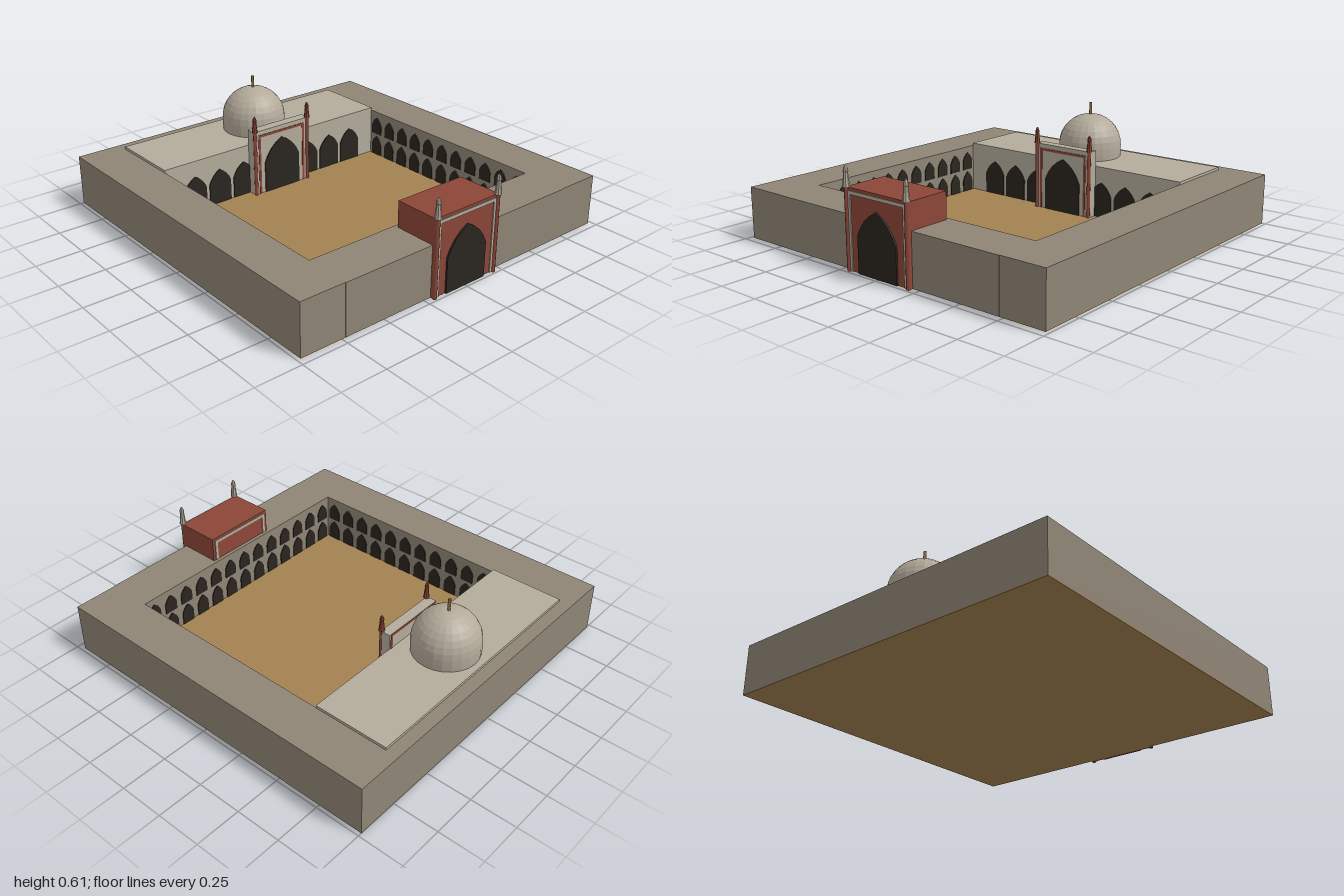
import * as THREE from 'three';

const mat = (color, flat = false) =>
  new THREE.MeshStandardMaterial({ color, flatShading: flat });

const stone = mat(0x8f8576);
const marble = mat(0xb3ac9c);
const domeStone = mat(0xb3aa9a, true);
const red = mat(0x8c4638);
const redFacet = mat(0x8c4638, true);
const dark = mat(0x2a251f);
const sand = mat(0xa38152);
const brass = mat(0x8c7040);

export function createModel() {
  const root = new THREE.Group();

  const add = (name, geometry, material, parent = root) => {
    const m = new THREE.Mesh(geometry, material);
    m.name = name;
    parent.add(m);
    return m;
  };

  // box given by its limits on each axis
  const box = (name, x0, x1, y0, y1, z0, z1, material, parent = root) => {
    const m = add(name, new THREE.BoxGeometry(x1 - x0, y1 - y0, z1 - z0), material, parent);
    m.position.set((x0 + x1) / 2, (y0 + y1) / 2, (z0 + z1) / 2);
    return m;
  };

  // thin pointed-arch panel standing on its base, facing +z
  const archGeometry = (w, spring, h, depth = 0.006) => {
    const s = new THREE.Shape();
    s.moveTo(-w, 0);
    s.lineTo(w, 0);
    s.lineTo(w, spring);
    s.quadraticCurveTo(w * 0.72, spring + (h - spring) * 0.68, 0, h);
    s.quadraticCurveTo(-w * 0.72, spring + (h - spring) * 0.68, -w, spring);
    return new THREE.ExtrudeGeometry(s, { depth, bevelEnabled: false, curveSegments: 4 });
  };

  const arch = (name, geometry, x, y, z, ry) => {
    const m = add(name, geometry, dark);
    m.position.set(x, y, z);
    m.rotation.y = ry;
  };

  // three-sided trim round a facade facing along x
  const trim = (name, x0, x1, y0, y1, halfWidth, t, material) => {
    const g = new THREE.Group();
    g.name = name;
    root.add(g);
    for (const s of [-1, 1]) {
      const a = s * halfWidth, b = s * (halfWidth - t);
      box('trimSide', x0, x1, y0, y1, Math.min(a, b), Math.max(a, b), material, g);
    }
    box('trimTop', x0, x1, y1 - t, y1, -halfWidth + t, halfWidth - t, material, g);
  };

  // slim corner shaft with a tapered pinnacle
  const turret = (name, x, z, base, top, r, tipMaterial) => {
    const g = new THREE.Group();
    g.name = name;
    g.position.set(x, 0, z);
    root.add(g);
    const shaft = add('turretShaft', new THREE.CylinderGeometry(r * 0.6, r * 0.6, base, 8), red, g);
    shaft.position.y = base / 2;
    const h = top - base;
    const profile = [[0, 0], [1, 0], [0.85, 0.2], [0.6, 0.66], [0.72, 0.7], [0.5, 0.87], [0, 1]]
      .map(([a, b]) => new THREE.Vector2(a * r, b * h));
    const tip = add('turretPinnacle', new THREE.LatheGeometry(profile, 8), tipMaterial, g);
    tip.position.y = base;
  };

  // ground and enclosing galleries
  box('ground', -1, 0.96, 0, 0.006, -0.98, 0.98, sand);
  for (const s of [-1, 1]) {
    box('sideGallery', -1, 0.96, 0.002, 0.28, s > 0 ? 0.73 : -0.98, s > 0 ? 0.98 : -0.73, stone);
  }
  box('gateGallery', 0.71, 0.963, 0.002, 0.28, -0.73, 0.73, stone);
  box('rearGallery', -1, -0.92, 0.002, 0.28, -0.73, 0.73, stone);

  // two tiers of arches round three sides of the court
  const tiers = [
    { y: 0.006, geo: archGeometry(0.039, 0.065, 0.118) },
    { y: 0.14, geo: archGeometry(0.039, 0.055, 0.105) },
  ];
  for (const { y, geo } of tiers) {
    for (let i = 0; i < 11; i++) {
      const x = -0.51 + (1.22 * (i + 0.5)) / 11;
      arch('galleryArch', geo, x, y, -0.731, 0);
      arch('galleryArch', geo, x, y, 0.731, Math.PI);
    }
    for (let i = 0; i < 13; i++) {
      const z = -0.73 + (1.46 * (i + 0.5)) / 13;
      arch('galleryArch', geo, 0.711, y, z, -Math.PI / 2);
    }
  }

  // prayer hall with its arcade
  box('prayerHall', -0.93, -0.51, 0.002, 0.295, -0.732, 0.732, marble);
  const hallArch = archGeometry(0.07, 0.12, 0.2);
  for (const s of [-1, 1]) {
    for (const z of [0.23, 0.39, 0.55]) {
      arch('hallArch', hallArch, -0.511, 0.006, s * z, Math.PI / 2);
    }
  }

  // tall portal screen in front of the hall
  box('portalScreen', -0.512, -0.455, 0.002, 0.385, -0.19, 0.19, marble);
  trim('portalTrim', -0.456, -0.452, 0.006, 0.36, 0.16, 0.014, red);
  trim('portalRearTrim', -0.515, -0.511, 0.295, 0.384, 0.18, 0.014, red);
  arch('portalArch', archGeometry(0.12, 0.18, 0.31), -0.456, 0.006, 0, Math.PI / 2);
  for (const s of [-1, 1]) turret('portalTurret', -0.455, s * 0.183, 0.385, 0.48, 0.017, redFacet);

  // dome on a short drum
  const domeProfile = [[0.178, 0], [0.18, 0.035], [0.18, 0.07]];
  for (let i = 1; i <= 8; i++) {
    const a = (i / 8) * Math.PI / 2;
    domeProfile.push([0.18 * Math.cos(a), 0.07 + 0.176 * Math.sin(a)]);
  }
  const dome = add('dome', new THREE.LatheGeometry(
    domeProfile.map(([r, y]) => new THREE.Vector2(Math.max(r, 0), y)), 24), domeStone);
  dome.position.set(-0.72, 0.294, 0);
  const finial = add('domeFinial', new THREE.CylinderGeometry(0.008, 0.008, 0.075, 8), brass);
  finial.position.set(-0.72, 0.568, 0);

  // gatehouse
  box('gatehouse', 0.73, 0.978, 0.002, 0.42, -0.21, 0.21, red);
  trim('gateTrim', 0.977, 0.983, 0.002, 0.405, 0.193, 0.017, marble);
  trim('gateRearTrim', 0.726, 0.731, 0.28, 0.405, 0.193, 0.017, marble);
  arch('gateArch', archGeometry(0.13, 0.19, 0.33, 0.01), 0.977, 0.002, 0, Math.PI / 2);
  for (const s of [-1, 1]) turret('gateTurret', 0.981, s * 0.201, 0.42, 0.53, 0.019, domeStone);

  return root;
}
